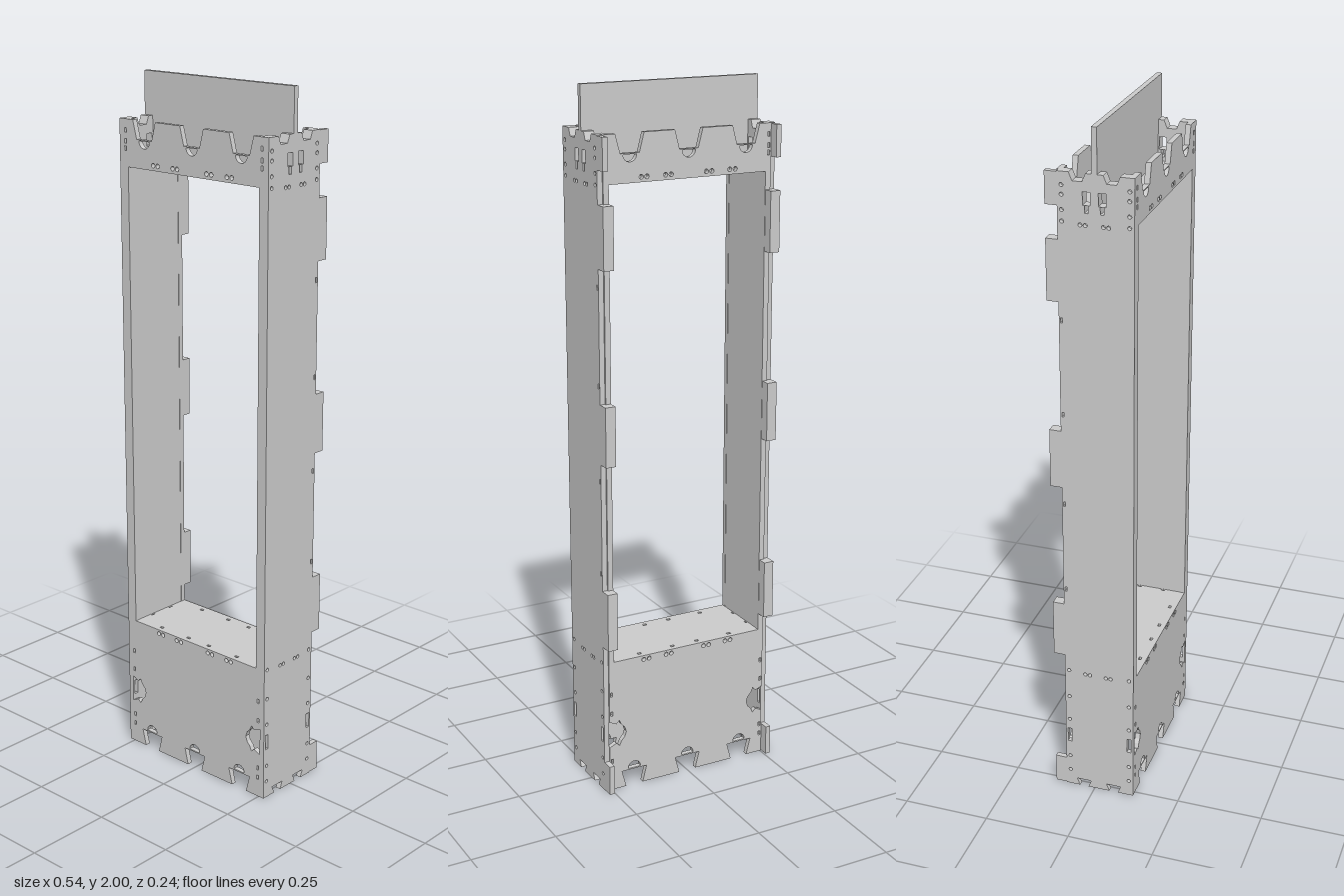
import * as THREE from 'three';

const T = 0.015; // sheet thickness
const mat = new THREE.MeshStandardMaterial({ color: 0xcccccc, flatShading: true, side: THREE.DoubleSide });

const poly = (C, pts) => new C(pts.map(([x, y]) => new THREE.Vector2(x, y)));
const rectHole = (x, y, w, h) => poly(THREE.Path, [
  [x - w / 2, y - h / 2], [x - w / 2, y + h / 2], [x + w / 2, y + h / 2], [x + w / 2, y - h / 2]]);
const roundHole = (x, y, r) => new THREE.Path().absarc(x, y, r, 0, Math.PI * 2, true);
// half disc whose flat side faces the direction opposite to angle a
const moonHole = (x, y, r, a) => {
  const p = new THREE.Path().absarc(x, y, r, a - Math.PI / 2, a + Math.PI / 2, false);
  p.closePath();
  return p;
};
const sheet = (shape) => new THREE.ExtrudeGeometry(shape, { depth: T, bevelEnabled: false, curveSegments: 6 });

function add(parent, name, geometry) {
  const mesh = new THREE.Mesh(geometry, mat);
  mesh.name = name;
  parent.add(mesh);
  return mesh;
}

// trapezoid notches along a horizontal edge, listed left to right
function notches(centres, y, depth, edgeHalf, deepHalf) {
  return centres.flatMap((c) => [
    [c - edgeHalf, y], [c - deepHalf, y + depth], [c + deepHalf, y + depth], [c + edgeHalf, y]]);
}

// front or back sheet with window, dovetail edges, key slots and screw holes
function facePanel() {
  const w = 0.253, c = [-0.175, 0, 0.175];
  const shape = poly(THREE.Shape, [
    [-w, 0], ...notches(c, 0, 0.05, 0.027, 0.04), [w, 0],
    [w, 0.135], [0.232, 0.145], [0.222, 0.135], [0.215, 0.15], [0.205, 0.16],
    [0.2, 0.175], [0.205, 0.19], [0.215, 0.2], [0.222, 0.215], [0.232, 0.205], [w, 0.215],
    [w, 1.88], ...notches(c, 1.88, -0.052, 0.042, 0.028).reverse(), [-w, 1.88],
    [-w, 0.215], [-0.232, 0.205], [-0.222, 0.215], [-0.215, 0.2], [-0.205, 0.19],
    [-0.2, 0.175], [-0.205, 0.16], [-0.215, 0.15], [-0.222, 0.135], [-0.232, 0.145], [-w, 0.135]]);
  shape.holes.push(rectHole(0, 1.075, 0.474, 1.35));
  for (const x of c) {
    shape.holes.push(moonHole(x, 0.054, 0.02, Math.PI / 2), moonHole(x, 1.825, 0.02, -Math.PI / 2));
  }
  for (const s of [-1, 1]) {
    for (const x of [0.053, 0.07, 0.125, 0.142]) {
      for (const y of [0.388, 1.764]) shape.holes.push(roundHole(s * x, y, 0.0065));
    }
    for (const y of [0.06, 0.09, 0.24, 0.3, 1.8, 1.82, 1.85]) {
      shape.holes.push(rectHole(s * 0.246, y, 0.007, 0.013));
    }
  }
  return sheet(shape);
}

// side sheet, drawn with shape x = -z; tabs stick out at the back
function sidePanel(y0, tabs, outer) {
  const f = outer ? -0.118 : -0.103, b = 0.087, t = 0.12, c = [-0.058, 0.033];
  const pts = [[f, y0]];
  if (outer) pts.push(...notches(c, 0, 0.022, 0.013, 0.022));
  pts.push([b, y0]);
  for (const [lo, hi] of tabs) pts.push([b, lo], [t, lo], [t, hi], [b, hi]);
  pts.push([b, 1.88], ...notches(c, 1.88, -0.022, 0.022, 0.013).reverse(), [f, 1.88]);
  const shape = poly(THREE.Shape, pts);
  // see-through slots on both sides of the header board
  for (const z of [0.033, -0.009]) {
    shape.holes.push(rectHole(-z, 1.815, 0.02, 0.035), rectHole(-z, 1.787, 0.01, 0.0205));
  }
  if (outer) {
    for (const z of [0.05, 0.036, -0.012, -0.026]) {
      for (const y of [0.395, 1.745]) shape.holes.push(roundHole(-z, y, 0.0055));
    }
    for (const z of [0.105, -0.075]) {
      for (const y of [0.05, 0.1, 0.23, 0.31, 0.4, 1.75, 1.78, 1.82, 1.845]) {
        shape.holes.push(roundHole(-z, y, 0.0055));
      }
      shape.holes.push(rectHole(-z, 0.175, 0.012, 0.045));
    }
    for (const y of [0.67, 0.94, 1.21, 1.48]) shape.holes.push(rectHole(0.08, y, 0.006, 0.014));
  }
  return sheet(shape).rotateY(Math.PI / 2);
}

// horizontal board with screw slots close to its edges
function shelf() {
  const shape = poly(THREE.Shape, [[-0.24, -0.105], [0.24, -0.105], [0.24, 0.079], [-0.24, 0.079]]);
  for (const s of [-1, 1]) {
    for (const x of [0.04, 0.147]) {
      for (const z of [0.099, -0.073]) shape.holes.push(rectHole(s * x, -z, 0.012, 0.008));
    }
    for (const z of [0.05, -0.025]) shape.holes.push(rectHole(s * 0.234, -z, 0.006, 0.012));
  }
  return sheet(shape).rotateX(-Math.PI / 2);
}

export function createModel() {
  const group = new THREE.Group();
  group.name = 'panelFrame';

  // front and back sheets
  add(group, 'frontPanel', facePanel()).position.z = 0.103;
  add(group, 'backPanel', facePanel()).position.z = -0.092;

  // outer sides run full height, inner liners start at the lower shelf
  const middleTabs = [[0.45, 0.62], [0.99, 1.16], [1.53, 1.7]];
  const outerTabs = [[0.002, 0.09], ...middleTabs, [1.79, 1.878]];
  for (const [name, s] of [['left', 1], ['right', -1]]) {
    add(group, name + 'OuterSide', sidePanel(0, outerTabs, true)).position.x = s > 0 ? 0.253 : -0.268;
    add(group, name + 'InnerSide', sidePanel(0.385, middleTabs, false)).position.x = s > 0 ? 0.238 : -0.253;
  }

  // window sill and top shelf
  add(group, 'lowerShelf', shelf()).position.y = 0.385;
  add(group, 'upperShelf', shelf()).position.y = 1.75;

  // upright header board slotted through the sides
  const header = poly(THREE.Shape, [
    [-0.237, 1.765], [0.237, 1.765], [0.237, 1.84], [0.268, 1.84],
    [0.268, 2], [-0.268, 2], [-0.268, 1.84], [-0.237, 1.84]]);
  add(group, 'headerBoard', sheet(header)).position.z = 0.005;

  return group;
}
